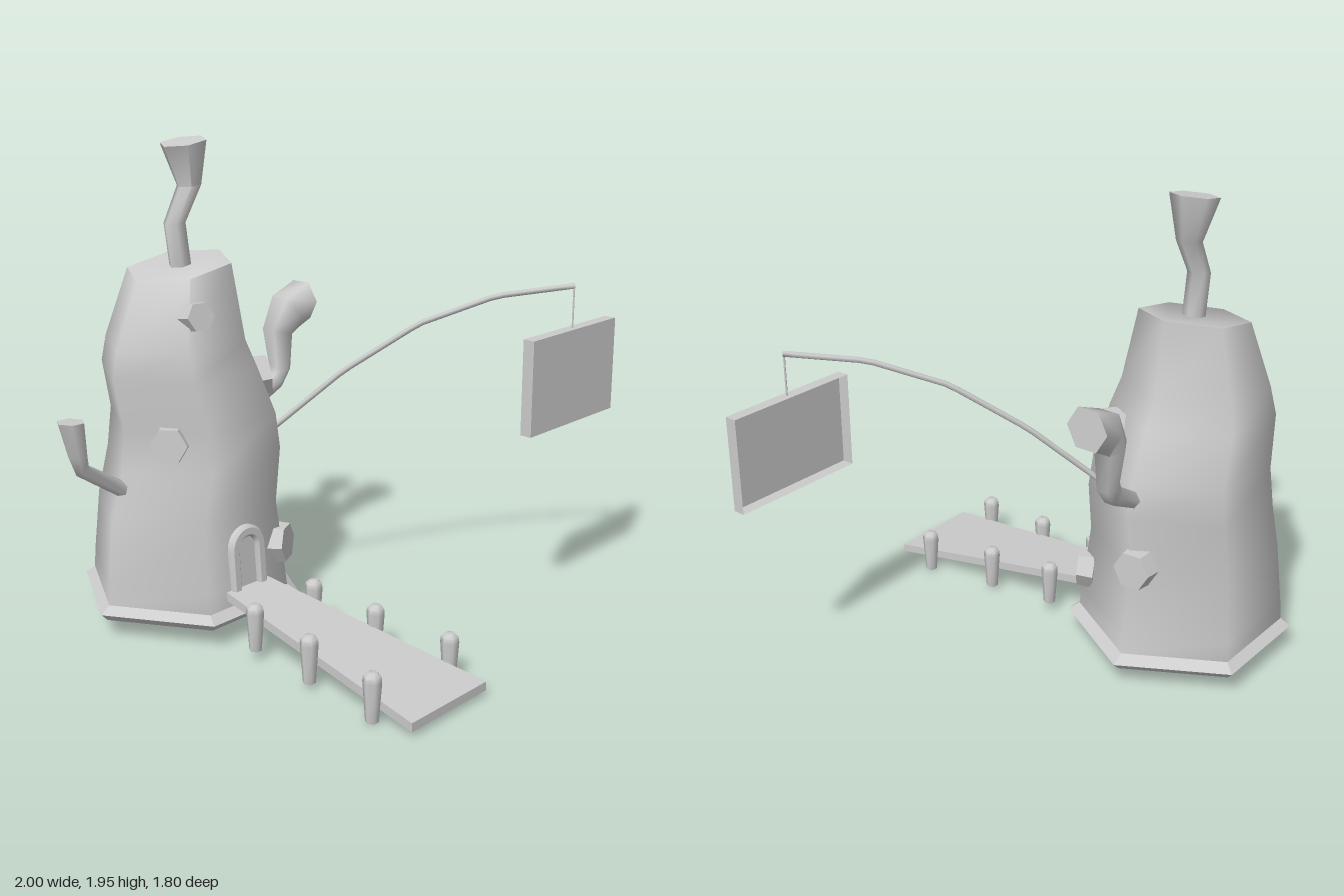
import * as THREE from 'three';
import { toCreasedNormals } from 'three/addons/utils/BufferGeometryUtils.js';

const material = new THREE.MeshStandardMaterial({ color: 0xcccccc, side: THREE.DoubleSide });
const Z = -0.5; // depth of the tower axis

function add(parent, name, geometry, crease = 0.5) {
  const mesh = new THREE.Mesh(toCreasedNormals(geometry, crease), material);
  mesh.name = name;
  parent.add(mesh);
  return mesh;
}

// Hexagonal loft in the xy plane: each ring is [leftX, leftY, rightX, rightY].
// turned: flats rather than corners lie on the left and right points.
function loft(rings, { z = Z, capped = true, turned = false } = {}) {
  const n = 6, pos = [], idx = [];
  for (const [lx, ly, rx, ry] of rings) {
    const cx = (lx + rx) / 2, cy = (ly + ry) / 2;
    const k = turned ? 1 / Math.cos(Math.PI / 6) : 1;
    const ux = (rx - cx) * k, uy = (ry - cy) * k, r = Math.hypot(ux, uy);
    for (let j = 0; j < n; j++) {
      const a = (j + (turned ? 0.5 : 0)) * Math.PI * 2 / n;
      pos.push(cx + Math.cos(a) * ux, cy + Math.cos(a) * uy, z + Math.sin(a) * r);
    }
  }
  for (let i = 0; i < rings.length - 1; i++) {
    for (let j = 0; j < n; j++) {
      const a = i * n + j, b = i * n + (j + 1) % n;
      idx.push(a, a + n, b, b, a + n, b + n);
    }
  }
  if (capped) {
    const s = (rings.length - 1) * n;
    for (let j = 1; j < n - 1; j++) idx.push(s, s + j + 1, s + j);
  }
  const g = new THREE.BufferGeometry();
  g.setAttribute('position', new THREE.Float32BufferAttribute(pos, 3));
  g.setIndex(idx);
  return g;
}

// Box with one face left open (0..5 = +x -x +y -y +z -z)
function openBox(w, h, d, face) {
  const g = new THREE.BoxGeometry(w, h, d);
  const idx = Array.from(g.index.array);
  idx.splice(face * 6, 6);
  g.setIndex(idx);
  g.clearGroups();
  return g;
}

function archShape(w, h, Type = THREE.Shape) {
  const s = new Type();
  s.moveTo(-w, 0);
  s.lineTo(w, 0);
  s.lineTo(w, h - w);
  s.absarc(0, h - w, w, 0, Math.PI, false);
  s.lineTo(-w, 0);
  return s;
}

export function createModel() {
  const model = new THREE.Group();
  model.name = 'stumpHouse';

  // Crooked tower, open underneath
  add(model, 'tower', loft([
    [-0.8, 0.14, 0.045, 0.14], [-0.795, 0.22, 0.035, 0.22], [-0.765, 0.48, 0, 0.51],
    [-0.71, 0.66, 0.03, 0.74], [-0.69, 0.84, 0.015, 0.87], [-0.73, 1.05, -0.075, 1.07],
    [-0.71, 1.16, -0.125, 1.18], [-0.6, 1.42, -0.17, 1.49],
  ]), 1.2);
  add(model, 'baseRim', loft([
    [-0.81, 0.08, 0.065, 0.08], [-0.84, 0.11, 0.095, 0.11], [-0.8, 0.14, 0.045, 0.14],
  ], { capped: false }), 0.3);

  // Chimney and the two side pipes
  add(model, 'chimney', loft([
    [-0.415, 1.4, -0.325, 1.41], [-0.445, 1.62, -0.355, 1.63],
    [-0.37, 1.76, -0.27, 1.77], [-0.44, 1.92, -0.25, 1.95],
  ]), 1.2);
  add(model, 'rightPipe', loft([
    [-0.64, 0.52, -0.61, 0.58], [-0.925, 0.715, -0.87, 0.745],
    [-0.955, 0.79, -0.875, 0.79], [-0.995, 0.935, -0.885, 0.93],
  ]), 1.2);
  add(model, 'leftPipe', loft([
    [-0.05, 0.82, -0.03, 0.765], [0.11, 0.915, 0.155, 0.855], [0.125, 0.945, 0.205, 0.925],
    [0.1, 1.11, 0.21, 1.08], [0.17, 1.24, 0.25, 1.11], [0.3, 1.29, 0.31, 1.135],
  ], { turned: true }), 1.2);

  // Hexagonal windows: position, facing direction, radius
  const windows = [
    [[-0.5, 1.3, -0.27], [-0.2, 0.2, 1], 0.063],
    [[-0.155, 1, -0.285], [0.8, 0.12, 0.55], 0.085],
    [[-0.595, 0.8, -0.335], [-0.8, 0.05, 0.6], 0.08],
    [[-0.175, 0.32, -0.165], [0.45, 0.05, 0.9], 0.085],
    [[0.01, 0.525, -0.53], [1, 0.05, -0.05], 0.085],
  ];
  for (const [p, dir, r] of windows) {
    const g = new THREE.CylinderGeometry(r * 0.93, r, 0.07, 6);
    g.rotateY(Math.PI / 2).rotateX(Math.PI / 2);
    const pane = add(model, 'window', g);
    pane.position.set(...p);
    pane.lookAt(new THREE.Vector3(...p).add(new THREE.Vector3(...dir)));
  }

  // Arched door with frame
  const door = new THREE.Group();
  door.name = 'door';
  door.position.set(-0.38, 0.18, -0.17);
  door.rotation.x = -0.07;
  const frame = archShape(0.082, 0.262);
  frame.holes.push(archShape(0.055, 0.235, THREE.Path));
  add(door, 'doorFrame', new THREE.ExtrudeGeometry(frame, {
    depth: 0.045, bevelSize: 0.01, bevelThickness: 0.01, bevelSegments: 1, curveSegments: 8,
  }));
  add(door, 'doorPanel', new THREE.ExtrudeGeometry(archShape(0.055, 0.235), {
    depth: 0.035, bevelEnabled: false, curveSegments: 8,
  }));
  model.add(door);

  // Ramp, widening and sloping down to the front, hollow underneath
  const ramp = openBox(2, 0.035, 1.04, 3);
  const p = ramp.attributes.position;
  for (let i = 0; i < p.count; i++) {
    const t = p.getZ(i) > 0 ? 1 : 0;
    p.setX(i, -0.383 + p.getX(i) * (t ? 0.21 : 0.113));
    p.setY(i, p.getY(i) + (t ? 0.045 : 0.188));
    p.setZ(i, t ? 0.9 : -0.14);
  }
  add(model, 'ramp', ramp);

  // Posts along both sides of the ramp
  for (const [z, half, y] of [[0.07, 0.162, 0.045], [0.38, 0.184, 0.025], [0.72, 0.217, 0.005]]) {
    for (const side of [-1, 1]) {
      const x = -0.381 + side * half;
      const rings = [[0.025, 0], [0.036, 0.155], [0.034, 0.175], [0.018, 0.19]]
        .map(([r, h]) => [x - r, y + h, x + r, y + h]);
      add(model, 'post', loft(rings, { z }), 1.1);
    }
  }

  // Bent pole with a hanging sign board
  const pole = new THREE.CurvePath();
  const pts = [
    [-0.12, 0.78, -0.25], [0.08, 1.015, -0.05], [0.29, 1.21, 0.17],
    [0.505, 1.322, 0.39], [0.725, 1.362, 0.615],
  ].map((a) => new THREE.Vector3(...a));
  for (let i = 1; i < pts.length; i++) pole.add(new THREE.LineCurve3(pts[i - 1], pts[i]));
  add(model, 'signPole', new THREE.TubeGeometry(pole, 24, 0.012, 6), 1.1);
  add(model, 'signCord', new THREE.CylinderGeometry(0.004, 0.004, 0.18, 6), 1.1).position.set(0.72, 1.275, 0.615);
  add(model, 'signBoard', openBox(0.575, 0.39, 0.05, 5)).position.set(0.7125, 0.995, 0.613);

  return model;
}
